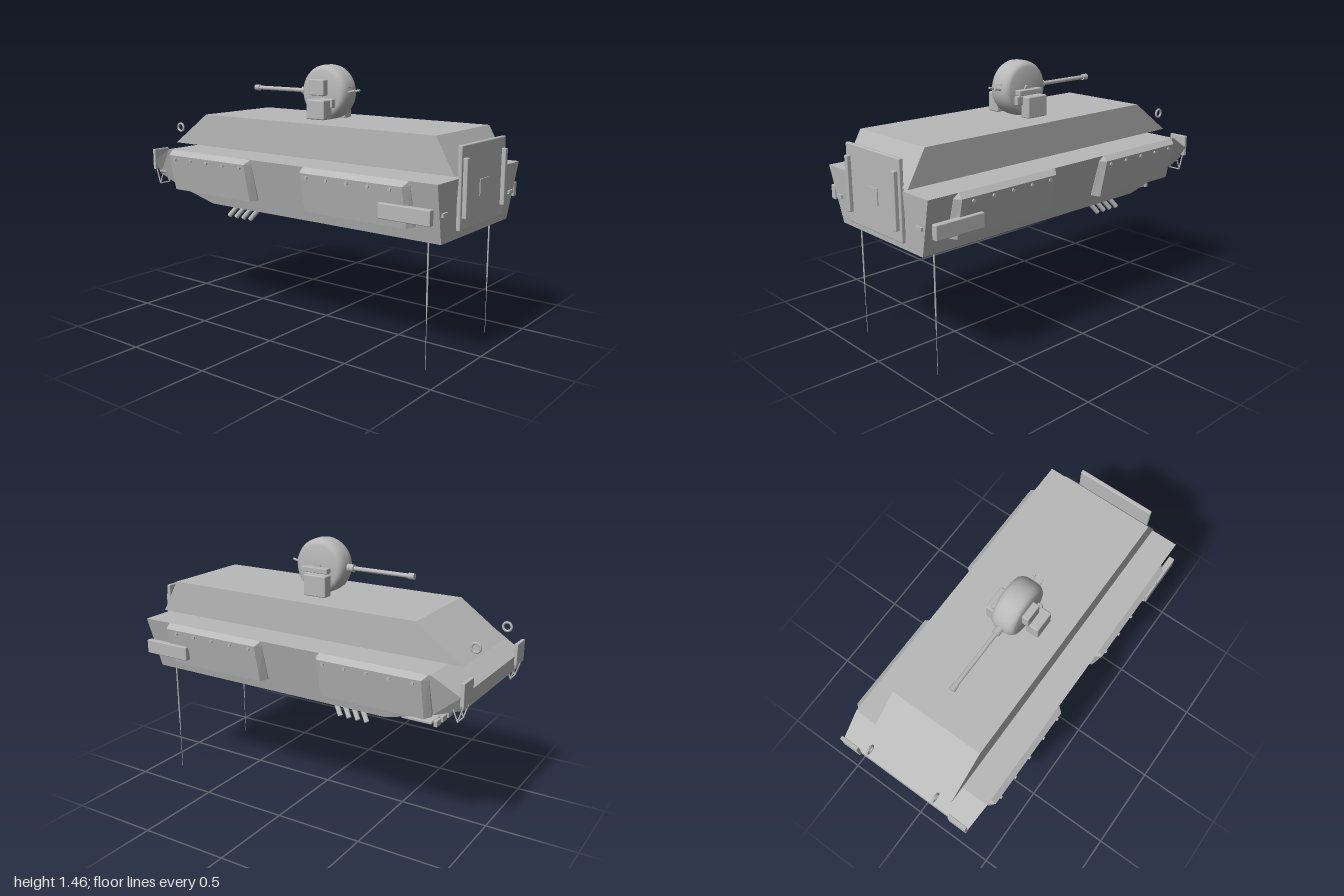
import * as THREE from 'three';
import { toCreasedNormals } from 'three/addons/utils/BufferGeometryUtils.js';
import { RoundedBoxGeometry } from 'three/addons/geometries/RoundedBoxGeometry.js';

const grey = new THREE.MeshStandardMaterial({ color: 0xb8b8b8 });
grey.name = 'grey';

// Joins rings of [x, y, z] corners, counter-clockwise seen from +z, ordered front to back
function loft(rings) {
  const pos = [], n = rings[0].length;
  const tri = (...p) => p.forEach(v => pos.push(...v));
  for (let k = 0; k < rings.length - 1; k++) {
    const f = rings[k], b = rings[k + 1];
    for (let i = 0; i < n; i++) {
      const j = (i + 1) % n;
      tri(f[i], b[i], b[j]);
      tri(f[i], b[j], f[j]);
    }
  }
  const first = rings[0], last = rings[rings.length - 1];
  for (let i = 1; i < n - 1; i++) {
    tri(first[0], first[i], first[i + 1]);
    tri(last[0], last[i + 1], last[i]);
  }
  const g = new THREE.BufferGeometry();
  g.setAttribute('position', new THREE.Float32BufferAttribute(pos, 3));
  g.computeVertexNormals();
  return g;
}

export function createModel() {
  const model = new THREE.Group();
  model.name = 'armouredCarrier';

  const add = (name, geo, x = 0, y = 0, z = 0) => {
    const m = new THREE.Mesh(geo, grey);
    m.name = name;
    m.position.set(x, y, z);
    model.add(m);
    return m;
  };
  // Box given by its limits, optionally with rounded edges
  const box = (name, x0, x1, y0, y1, z0, z1, r = 0) => {
    const s = [x1 - x0, y1 - y0, z1 - z0];
    const g = r ? new RoundedBoxGeometry(...s, 2, r) : new THREE.BoxGeometry(...s);
    return add(name, g, (x0 + x1) / 2, (y0 + y1) / 2, (z0 + z1) / 2);
  };
  // Round rod between two points
  const rod = (name, a, b, r, sides = 16) => {
    const p = new THREE.Vector3(...a), q = new THREE.Vector3(...b);
    const d = q.clone().sub(p);
    const m = add(name, new THREE.CylinderGeometry(r, r, d.length(), sides));
    m.position.copy(p).add(q).multiplyScalar(0.5);
    m.quaternion.setFromUnitVectors(new THREE.Vector3(0, 1, 0), d.normalize());
    return m;
  };

  // Lower hull: flared sides and a wedge nose
  const hullRing = (wb, yb, zb, wt, yt, zt) =>
    [[-wb, yb, zb], [wb, yb, zb], [wt, yt, zt], [-wt, yt, zt]];
  add('lowerHull', loft([
    hullRing(0.345, 0.655, 0.945, 0.425, 0.957, 0.965),
    hullRing(0.345, 0.655, -0.56, 0.425, 0.957, -0.56),
    hullRing(0.355, 0.727, -0.82, 0.425, 0.957, -0.835),
    hullRing(0.36, 0.79, -0.985, 0.408, 0.87, -0.985),
  ]));

  // Upper hull: sloped at both ends
  const upper = (y, z, w = 0.272) => [[w, y, z], [-w, y, z]];
  const upperRing = (z0, z1) => [...upper(0.972, z0).reverse(), ...upper(1.157, z1)];
  add('upperHull', loft([upperRing(0.965, 0.86), upperRing(-0.935, -0.675)]));

  // Side armour with bolts
  const outer = [[0.36, 0.735], [0.41, 0.722], [0.453, 0.93], [0.425, 0.957]];
  const inner = [[0.36, 0.735], [0.37, 0.725], [0.419, 0.93], [0.42, 0.957]];
  for (const s of [1, -1]) {
    for (const [zf, zb] of [[0.815, 0.15], [-0.19, -0.825]]) {
      const ring = (pts, z) => {
        const r = pts.map(([x, y]) => [s * x, y, z]);
        return s > 0 ? r : r.reverse();
      };
      add('sideArmour', loft([ring(inner, zf), ring(outer, zf - 0.025),
        ring(outer, zb + 0.025), ring(inner, zb)]));
      for (let i = 0; i < 5; i++) {
        const z = (zf > 0 ? 0.72 : -0.25) - i * 0.126;
        rod('armourBolt', [s * 0.44, 0.91, z], [s * 0.458, 0.91, z], 0.009, 12);
      }
    }
  }

  // Door in the front face
  box('door', -0.23, 0.23, 0.7, 1.115, 0.955, 0.978, 0.006);
  box('doorPlate', -0.042, 0.042, 0.845, 0.93, 0.976, 0.983);

  // Paired fittings
  for (const s of [1, -1]) {
    const pair = (name, a, b, ...rest) =>
      box(name, Math.min(s * a, s * b), Math.max(s * a, s * b), ...rest);
    pair('doorBar', 0.187, 0.214, 0.76, 1.055, 0.974, 1, 0.005);
    pair('markerLamp', 0.322, 0.368, 0.793, 0.812, 0.95, 0.966);
    pair('sideBox', 0.42, 0.455, 0.762, 0.84, 0.655, 0.945, 0.005);
    pair('sideBoxMount', 0.37, 0.422, 0.785, 0.82, 0.72, 0.79);
    pair('nosePlate', 0.295, 0.405, 0.82, 0.94, -1, -0.98, 0.003);

    // Aerial in two steps
    rod('aerialBase', [s * 0.317, 0.66, 0.86], [s * 0.317, 0.32, 0.86], 0.0045, 8);
    rod('aerialMiddle', [s * 0.317, 0.32, 0.86], [s * 0.317, 0.24, 0.86], 0.003, 8);
    rod('aerialTip', [s * 0.317, 0.24, 0.86], [s * 0.317, 0, 0.86], 0.0015, 8);

    // Smoke launchers
    for (let i = 0; i < 4; i++) {
      const z = -0.245 - i * 0.053;
      rod('smokeLauncher', [s * 0.307, 0.655, z], [s * 0.331, 0.597, z - 0.042], 0.0135);
    }

    // Lifting ring
    const ring = add('liftingRing', new THREE.TorusGeometry(0.023, 0.0065, 10, 28), s * 0.207, 1.055, -0.965);
    ring.rotation.y = Math.PI / 2;

    // Lamp with a wire guard under the nose
    rod('noseLamp', [s * 0.35, 0.81, -0.93], [s * 0.35, 0.81, -0.985], 0.022);
    for (const x of [0.315, 0.385]) {
      rod('lampGuard', [s * x, 0.83, -0.995], [s * x, 0.735, -0.965], 0.004, 8);
      rod('lampGuard', [s * x, 0.735, -0.965], [s * x, 0.795, -0.94], 0.004, 8);
    }
    rod('lampGuard', [s * 0.315, 0.735, -0.965], [s * 0.385, 0.735, -0.965], 0.004, 8);

    // Large double hatch on the underside
    pair('largeHatch', 0.001, 0.25, 0.637, 0.652, 0.445, 0.82, 0.004);
    rod('hatchHinge', [s * 0.005, 0.64, 0.82], [s * 0.005, 0.64, 0.8], 0.008, 10);
  }

  // Smaller hatches and periscopes
  box('middleHatch', -0.125, 0.125, 0.627, 0.657, -0.37, -0.24, 0.005);
  box('driverHatch', 0.08, 0.27, 0.635, 0.652, -0.78, -0.61, 0.005);
  for (const x of [0.105, 0.175, 0.245])
    box('periscope', x - 0.025, x + 0.025, 0.628, 0.662, -0.81, -0.79, 0.003);

  // Turret: upright drum with rounded shoulders
  const half = [[0.12, 0.07], [0.131, 0.066], [0.14, 0.056], [0.147, 0.042], [0.15, 0.022]];
  const profile = [[0, 0.07], ...half, ...half.slice().reverse().map(([r, x]) => [r, -x]), [0, -0.07]]
    .reverse().map(([r, x]) => new THREE.Vector2(r, x));
  const drum = add('turretDrum', toCreasedNormals(new THREE.LatheGeometry(profile, 56), 0.5), 0, 1.305, 0.02);
  drum.rotation.z = -Math.PI / 2;
  rod('turretHub', [-0.08, 1.305, 0.02], [0.08, 1.305, 0.02], 0.022, 20);

  // Gun
  rod('gunCollar', [0, 1.305, -0.11], [0, 1.305, -0.168], 0.021, 20);
  rod('gunBarrel', [0, 1.305, -0.15], [0, 1.305, -0.515], 0.012);
  rod('gunMuzzle', [0, 1.305, -0.493], [0, 1.305, -0.527], 0.017);

  // Turret boxes and brackets
  box('turretBoxRight', -0.157, -0.08, 1.165, 1.272, -0.022, 0.1, 0.008);
  box('turretBoxLeft', 0.076, 0.138, 1.155, 1.273, -0.068, 0.07, 0.008);
  box('sightBox', -0.108, -0.066, 1.29, 1.377, -0.04, 0.06, 0.006);
  box('leftRail', 0.066, 0.107, 1.278, 1.307, -0.06, 0.105, 0.004);
  box('turretBracket', -0.098, 0.092, 1.226, 1.275, 0.02, 0.11, 0.006);
  box('drumSlit', -0.03, 0.03, 1.334, 1.339, 0.155, 0.17);
  for (const s of [1, -1])
    rod('drumPeg', [s * 0.023, 1.308, 0.155], [s * 0.023, 1.32, 0.208], 0.0065, 12);

  return model;
}
